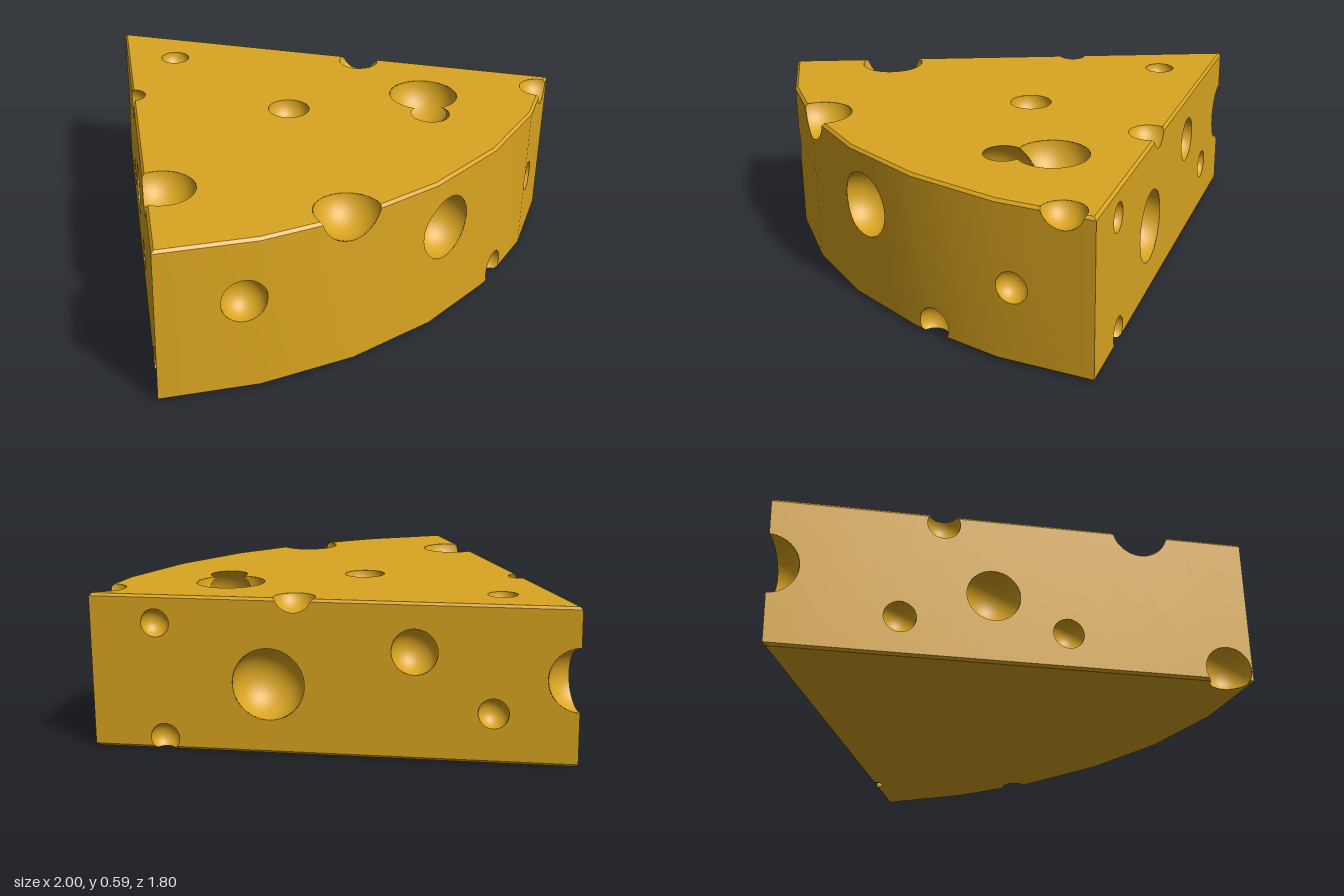
import * as THREE from 'three';
import { toCreasedNormals } from 'three/addons/utils/BufferGeometryUtils.js';

const RADIUS = 1.8, HEIGHT = 0.585, BEVEL = 0.01, APEX_Z = -0.9;
const HALF_ANGLE = Math.asin(1 / RADIUS), ARC_STEPS = 6;

// Point on a straight side wall: s = +1 or -1, t runs from the tip (0) to the outer corner (1)
const onSide = (s, t, y, r) => [s * t, y, APEX_Z + 1.5 * t, r];

// Air bubbles: x, y, z, radius
const holes = [
  // curved wall
  [0.07, 0.38, 0.885, 0.12], [-0.735, 0.353, 0.732, 0.08],
  [0.738, 0.28, 0.732, 0.058], [0.428, 0.04, 0.842, 0.064],
  // top rim
  [-0.36, 0.605, 0.825, 0.12], [0.893, 0.6, 0.642, 0.08], [0.545, 0.605, -0.02, 0.08],
  [-0.727, 0.6, 0.294, 0.122], [-0.355, 0.55, -0.37, 0.062],
  // top, the last one a buried bubble that breaks into its neighbour
  [0, 0.585, -0.55, 0.056], [0.02, 0.585, 0.125, 0.078],
  [0.497, 0.59, 0.382, 0.13], [0.39, 0.477, 0.515, 0.13],
  // tip
  [0, 0.32, -0.905, 0.118],
  // +x side
  onSide(1, 0.627, 0.263, 0.135), onSide(1, 0.328, 0.403, 0.085), onSide(1, 0.169, 0.186, 0.056),
  onSide(1, 0.861, 0.48, 0.053), onSide(1, 0.848, 0.043, 0.055),
  // -x side
  onSide(-1, 0.265, 0.152, 0.06), onSide(-1, 0.456, 0.268, 0.1),
  onSide(-1, 0.61, 0.14, 0.058), onSide(-1, 0.947, 0.05, 0.088),
].map(([x, y, z, r]) => ({ c: new THREE.Vector3(x, y, z), r }));

// Wedge outline (shape y is -z): tip, then the faceted arc
const outline = [new THREE.Vector2(0, -APEX_Z)];
for (let i = 0; i <= ARC_STEPS; i++) {
  const a = HALF_ANGLE * (2 * i / ARC_STEPS - 1);
  outline.push(new THREE.Vector2(RADIUS * Math.sin(a), -APEX_Z - RADIUS * Math.cos(a)));
}

// Distance functions, positive outside the wedge: caps, walls and bevels
const top = p => p.y - HEIGHT, bottom = p => -p.y;
const wedgePlanes = [top, bottom];
outline.forEach((a, i) => {
  const d = outline[(i + 1) % outline.length].clone().sub(a).normalize();
  const wall = p => (p.x - a.x) * d.y + (p.z + a.y) * d.x;
  wedgePlanes.push(wall, p => wall(p) + top(p) + BEVEL, p => wall(p) + bottom(p) + BEVEL);
});

// Triangles are triples of { p: position, n: normal }
const mix = (a, b, t) => ({ p: a.p.clone().lerp(b.p, t), n: a.n.clone().lerp(b.n, t) });

function toTriangles(geometry) {
  const g = geometry.index ? geometry.toNonIndexed() : geometry;
  const { position, normal } = g.attributes, tris = [];
  const vertex = i => ({
    p: new THREE.Vector3().fromBufferAttribute(position, i),
    n: new THREE.Vector3().fromBufferAttribute(normal, i),
  });
  for (let i = 0; i < position.count; i += 3) tris.push([vertex(i), vertex(i + 1), vertex(i + 2)]);
  return tris;
}

function toGeometry(tris) {
  const pos = [], nor = [];
  for (const v of tris.flat()) {
    pos.push(v.p.x, v.p.y, v.p.z);
    v.n.normalize();
    nor.push(v.n.x, v.n.y, v.n.z);
  }
  const g = new THREE.BufferGeometry();
  g.setAttribute('position', new THREE.Float32BufferAttribute(pos, 3));
  g.setAttribute('normal', new THREE.Float32BufferAttribute(nor, 3));
  return g;
}

// Where an edge meets f = 0, by bisection
function crossing(a, b, f) {
  const startsInside = f(a.p) <= 0;
  let lo = 0, hi = 1;
  for (let k = 0; k < 20; k++) {
    const m = (lo + hi) / 2;
    if ((f(mix(a, b, m).p) <= 0) === startsInside) lo = m; else hi = m;
  }
  return mix(a, b, lo);
}

// Keep the part of each triangle where f <= 0
function clip(tris, f) {
  const out = [];
  for (const tri of tris) {
    const poly = [];
    tri.forEach((a, i) => {
      const b = tri[(i + 1) % 3], aIn = f(a.p) <= 0;
      if (aIn) poly.push(a);
      if (aIn !== (f(b.p) <= 0)) poly.push(crossing(a, b, f));
    });
    for (let i = 2; i < poly.length; i++) out.push([poly[0], poly[i - 1], poly[i]]);
  }
  return out;
}

// Halve triangles along their longest edge, only close to a hole's rim
function refine(tri, out) {
  const len = tri.map((v, i) => v.p.distanceTo(tri[(i + 1) % 3].p));
  const longest = Math.max(...len), i = len.indexOf(longest);
  const centre = tri[0].p.clone().add(tri[1].p).add(tri[2].p).divideScalar(3);
  const nearRim = holes.some(h => Math.abs(centre.distanceTo(h.c) - h.r) < longest);
  if (longest < 0.022 || !nearRim) {
    out.push(tri);
    return;
  }
  const a = tri[i], b = tri[(i + 1) % 3], c = tri[(i + 2) % 3], m = mix(a, b, 0.5);
  refine([a, m, c], out);
  refine([m, b, c], out);
}

const outsideHole = h => p => h.r - p.distanceTo(h.c);

// Bevelled wedge with the bubbles cut from its skin
function wedgeGeometry() {
  const g = new THREE.ExtrudeGeometry(new THREE.Shape(outline), {
    depth: HEIGHT - 2 * BEVEL, bevelThickness: BEVEL, bevelSize: BEVEL, bevelOffset: -BEVEL, bevelSegments: 1,
  });
  g.translate(0, 0, BEVEL).rotateX(-Math.PI / 2);
  const fine = [];
  toTriangles(toCreasedNormals(g, 0.3)).forEach(t => refine(t, fine));
  return toGeometry(holes.reduce((tris, h) => clip(tris, outsideHole(h)), fine));
}

// Inward-facing sphere, trimmed to the wedge and to bubbles it meets
function holeGeometry(hole) {
  const sphere = new THREE.SphereGeometry(hole.r, 40, 28).translate(...hole.c.toArray());
  let tris = toTriangles(sphere).map(t => t.reverse());
  tris.flat().forEach(v => v.n.negate());
  for (const f of wedgePlanes) tris = clip(tris, f);
  for (const h of holes) {
    if (h !== hole && h.c.distanceTo(hole.c) < h.r + hole.r) tris = clip(tris, outsideHole(h));
  }
  return toGeometry(tris);
}

export function createModel() {
  const group = new THREE.Group();
  group.name = 'cheeseWedge';
  const material = new THREE.MeshStandardMaterial({ color: 0xdaa520 });
  const add = (name, geometry) => {
    const mesh = new THREE.Mesh(geometry, material);
    mesh.name = name;
    group.add(mesh);
  };
  add('wedge', wedgeGeometry());
  holes.forEach((h, i) => add(`hole${i + 1}`, holeGeometry(h)));
  return group;
}
